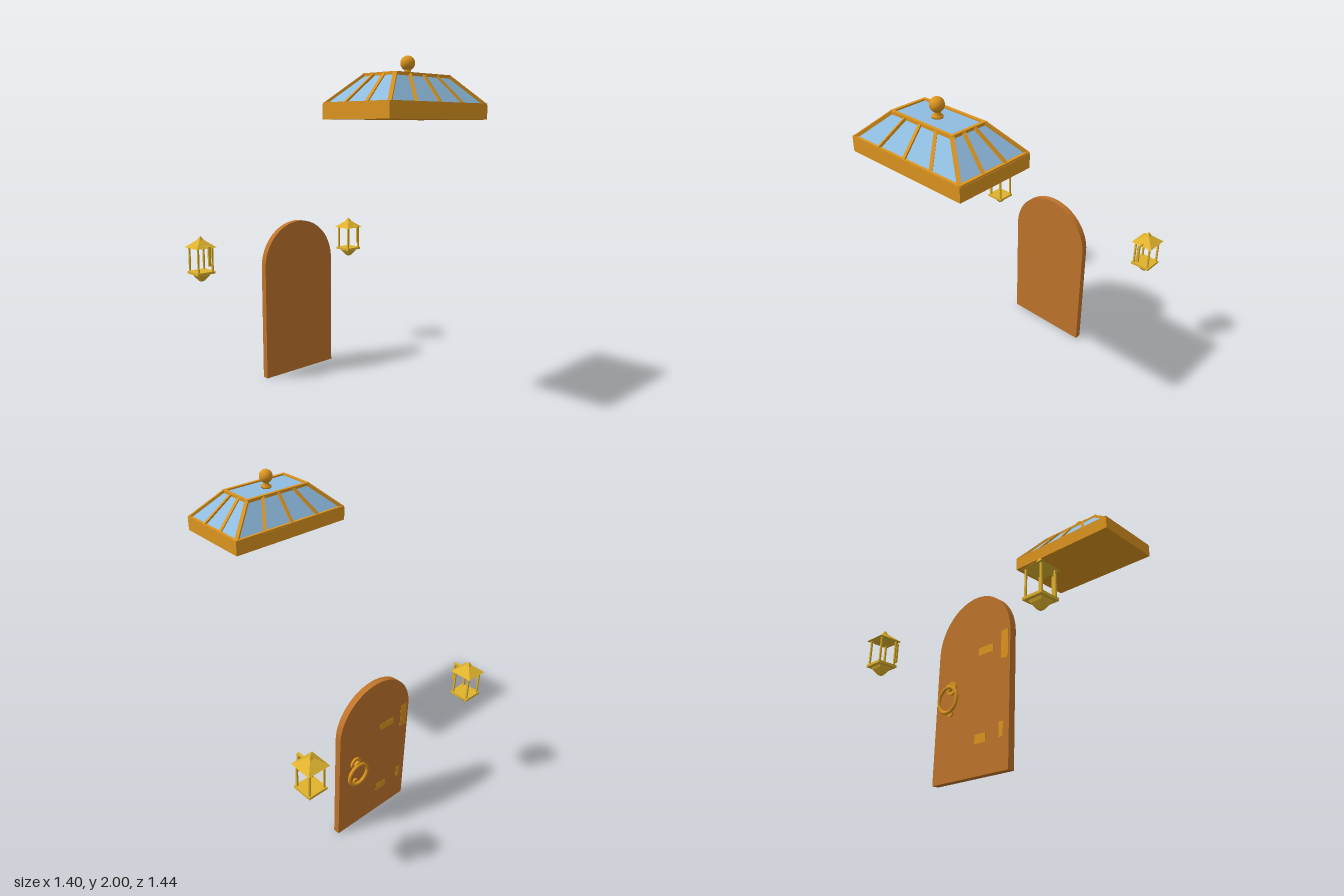
import * as THREE from 'three';

const mat = (name, color) => {
  const m = new THREE.MeshStandardMaterial({ color });
  m.name = name;
  return m;
};

export function createModel() {
  const wood = mat('door wood', 0xbf742b);
  const bronze = mat('bronze', 0xdd951f);
  const gold = mat('lantern gold', 0xdfb22d);
  const glass = mat('glass', 0x8fbce0);

  const add = (parent, name, geo, material, x = 0, y = 0, z = 0) => {
    const m = new THREE.Mesh(geo, material);
    m.name = name;
    m.position.set(x, y, z);
    parent.add(m);
    return m;
  };
  const group = (parent, name, x = 0, y = 0, z = 0) => {
    const g = new THREE.Group();
    g.name = name;
    g.position.set(x, y, z);
    parent.add(g);
    return g;
  };
  const box = (w, h, d) => new THREE.BoxGeometry(w, h, d);
  // square bar between two points of its parent
  const up = new THREE.Vector3(0, 1, 0);
  const bar = (parent, name, a, b, t, material) => {
    const p = new THREE.Vector3(...a), q = new THREE.Vector3(...b);
    const m = add(parent, name, box(t, t, p.distanceTo(q)), material);
    m.position.copy(p).lerp(q, 0.5);
    m.quaternion.setFromRotationMatrix(new THREE.Matrix4().lookAt(q, p, up));
  };
  // square frustum with flat sides, given half widths
  const frustum = (top, bottom, h) => {
    const g = new THREE.CylinderGeometry(top * Math.SQRT2, bottom * Math.SQRT2, h, 4, 1);
    g.rotateY(Math.PI / 4);
    const flat = g.toNonIndexed();
    flat.computeVertexNormals();
    return flat;
  };

  const model = new THREE.Group();
  model.name = 'doorSkylightAndLanterns';

  // Skylight: solid curb, sloped glass, bars and finial
  const sky = group(model, 'skylight', 0, 1.66, 0.473);
  add(sky, 'skylightCurb', box(0.8, 0.08, 0.485), bronze, 0, 0.04, 0);
  const B = [0.39, 0.08, 0.233], T = [0.218, 0.232, 0.109];
  const pane = box(2, 1, 2);
  const pos = pane.attributes.position;
  for (let i = 0; i < pos.count; i++) {
    const e = pos.getY(i) > 0 ? T : B;
    pos.setXYZ(i, pos.getX(i) * e[0], e[1], pos.getZ(i) * e[2]);
  }
  pane.computeVertexNormals();
  add(sky, 'skylightGlass', pane, glass);
  for (const s of [-1, 1]) {
    for (const [e, name] of [[B, 'lowerRail'], [T, 'upperRail']]) {
      bar(sky, name, [-e[0] - 0.008, e[1], s * e[2]], [e[0] + 0.008, e[1], s * e[2]], 0.018, bronze);
      bar(sky, name, [s * e[0], e[1], -e[2]], [s * e[0], e[1], e[2]], 0.018, bronze);
    }
    for (const u of [-1, 1])
      bar(sky, 'cornerBar', [u * B[0], B[1], s * B[2]], [u * T[0], T[1], s * T[2]], 0.02, bronze);
    for (const u of [-0.5, 0, 0.5])
      bar(sky, 'longSideBar', [u * B[0], B[1], s * B[2]], [u * T[0], T[1], s * T[2]], 0.018, bronze);
    for (const u of [-1 / 3, 1 / 3])
      bar(sky, 'shortSideBar', [s * B[0], B[1], u * B[2]], [s * T[0], T[1], u * T[2]], 0.018, bronze);
  }
  const prof = [[0, 0.232], [0.03, 0.232], [0.03, 0.243], [0.016, 0.25], [0.02, 0.27]]
    .map(p => new THREE.Vector2(...p));
  add(sky, 'finialNeck', new THREE.LatheGeometry(prof, 24), bronze);
  add(sky, 'finialBall', new THREE.SphereGeometry(0.04, 24, 16), bronze, 0, 0.3, 0);

  // Arched door slab
  const door = group(model, 'door');
  const arch = new THREE.Shape();
  arch.moveTo(-0.28, 0);
  arch.lineTo(0.28, 0);
  arch.lineTo(0.28, 0.73);
  arch.absarc(0, 0.73, 0.28, 0, Math.PI, false);
  arch.lineTo(-0.28, 0);
  const slab = new THREE.ExtrudeGeometry(arch, { depth: 0.04, bevelEnabled: false, curveSegments: 32 });
  add(door, 'doorSlab', slab, wood, 0, 0, -0.498);

  // Ring handle on the back
  const handle = group(door, 'ringHandle', 0.157, 0.44, -0.498);
  const disc = (name, r, d, y, z) =>
    add(handle, name, new THREE.CylinderGeometry(r, r, d, 24).rotateX(Math.PI / 2), bronze, 0, y, z);
  add(handle, 'ring', new THREE.TorusGeometry(0.071, 0.01, 12, 40), bronze, 0, 0, -0.03);
  disc('handlePlate', 0.038, 0.012, 0.072, -0.006);
  disc('handleBoss', 0.02, 0.03, 0.072, -0.015);
  disc('strikerPlate', 0.018, 0.012, -0.071, -0.006);

  // Hinge leaves almost flush with the back face: x, y, width, height
  for (const [x, y, w, h] of [[-0.1, 0.67, 0.11, 0.045], [-0.24, 0.665, 0.05, 0.16],
    [-0.075, 0.19, 0.08, 0.05], [-0.225, 0.21, 0.03, 0.08]])
    add(door, 'hingeLeaf', box(w, h, 0.003), bronze, x, y, -0.498);

  // Pair of wall lanterns
  for (const s of [-1, 1]) {
    const l = group(model, s > 0 ? 'leftLantern' : 'rightLantern', s * 0.63, 0, -0.65);
    add(l, 'lanternRoof', frustum(0.016, 0.071, 0.045), gold, 0, 0.908, 0);
    add(l, 'roofTip', frustum(0.001, 0.016, 0.025), gold, 0, 0.9425, 0);
    for (const x of [-0.05, 0.05])
      for (const z of [-0.05, 0.05])
        add(l, 'lanternPost', box(0.01, 0.16, 0.01), gold, x, 0.81, z);
    add(l, 'lanternBase', box(0.124, 0.015, 0.124), gold, 0, 0.728, 0);
    add(l, 'basePendantUpper', frustum(0.042, 0.035, 0.016), gold, 0, 0.713, 0);
    add(l, 'basePendant', frustum(0.035, 0.012, 0.033), gold, 0, 0.689, 0);
    add(l, 'wallArm', box(0.014, 0.012, 0.1), gold, 0, 0.894, 0.052);
    add(l, 'wallMount', box(0.016, 0.12, 0.012), gold, 0, 0.84, 0.096);
  }
  return model;
}
